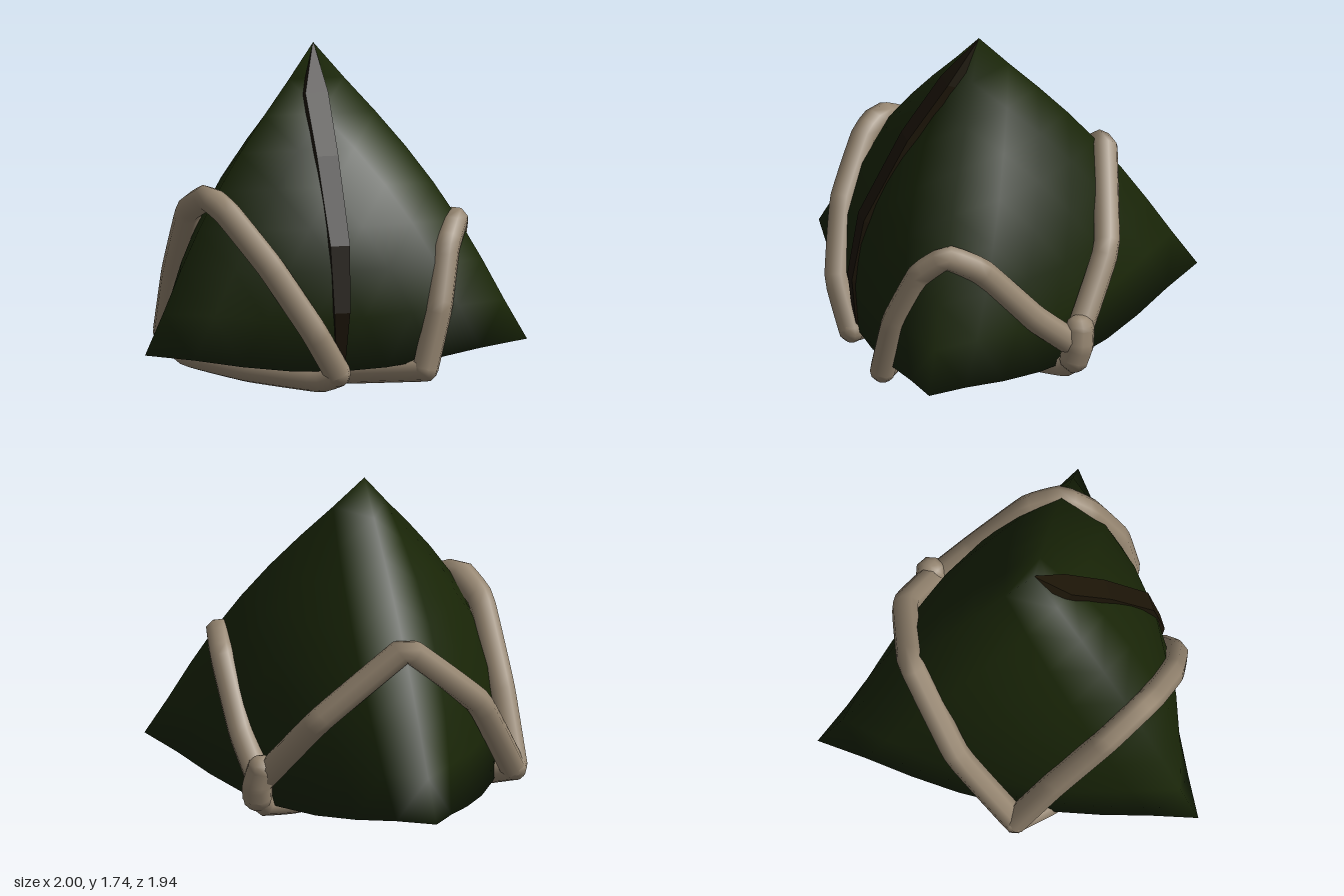
import * as THREE from 'three';
import { mergeVertices } from 'three/addons/utils/BufferGeometryUtils.js';

const V = (x, y, z) => new THREE.Vector3(x, y, z);
const mat = (name, color) => {
  const m = new THREE.MeshStandardMaterial({ color });
  m.name = name;
  return m;
};

// Four corners of the parcel: top, back, left, right
const corners = [V(0, 1.74, 0.19), V(0, 0.26, -0.975), V(1, 0.26, 0.75), V(-1, 0.26, 0.75)];
// How far the middle of each edge swells outward
const edgeSwell = {
  '01': V(0, 0.06, -0.04), '02': V(0.065, 0.045, 0.03), '03': V(-0.065, 0.045, 0.03),
  '12': V(0.08, -0.13, -0.04), '13': V(-0.08, -0.13, -0.04), '23': V(0, -0.11, 0.09),
};

// Point on a swollen triangular face, from barycentric weights
function facePoint(ids, w, bulge) {
  const [p, q, r] = ids.map((i) => corners[i]);
  const n = q.clone().sub(p).cross(r.clone().sub(p)).normalize();
  const out = V(0, 0, 0);
  ids.forEach((id, i) => out.addScaledVector(corners[id], w[i]));
  for (const [i, j] of [[0, 1], [1, 2], [0, 2]]) {
    const key = [ids[i], ids[j]].sort().join('');
    out.addScaledVector(edgeSwell[key], Math.pow(Math.max(0, 4 * w[i] * w[j]), 1.5));
  }
  return out.addScaledVector(n, 27 * w[0] * w[1] * w[2] * bulge);
}

function swollenFaces(faces, steps = 8) {
  const pos = [];
  for (const { ids, bulge } of faces) {
    const at = (i, j) => {
      const b = i / steps, c = j / steps;
      pos.push(...facePoint(ids, [1 - b - c, b, c], bulge).toArray());
    };
    for (let i = 0; i < steps; i++) {
      for (let j = 0; j < steps - i; j++) {
        at(i, j); at(i + 1, j); at(i, j + 1);
        if (i + j < steps - 1) { at(i + 1, j); at(i + 1, j + 1); at(i, j + 1); }
      }
    }
  }
  const g = new THREE.BufferGeometry();
  g.setAttribute('position', new THREE.Float32BufferAttribute(pos, 3));
  const merged = mergeVertices(g, 1e-4);
  merged.computeVertexNormals();
  return merged;
}

// Raised fold running down the middle of the front face:
// height weight, centre x, half width, lift
function foldGeometry() {
  const rows = [[0.995, 0, 0.004, 0], [0.82, -0.018, 0.07, 0.035], [0.6, -0.008, 0.066, 0.026],
    [0.32, 0.008, 0.06, 0.02], [0.14, 0.006, 0.048, 0.016], [0.01, 0.004, 0.026, 0.008]];
  const rings = rows.map(([a, cx, half, lift]) => {
    const c = facePoint([0, 3, 2], [a, (1 - a) / 2, (1 - a) / 2], 0.2);
    const sink = a > 0.9 ? 0.005 : 0.04;
    return [[-half, -sink], [-half * 0.85, lift], [half * 0.85, lift], [half, -sink]]
      .map(([x, d]) => [cx + x, c.y + d * 0.35, c.z + d * 0.93]);
  });
  const pos = [];
  for (let i = 0; i < rings.length - 1; i++) {
    for (let j = 0; j < 3; j++) {
      const a = rings[i][j], b = rings[i][j + 1], c = rings[i + 1][j], d = rings[i + 1][j + 1];
      pos.push(...a, ...c, ...b, ...b, ...c, ...d);
    }
  }
  const g = new THREE.BufferGeometry();
  g.setAttribute('position', new THREE.Float32BufferAttribute(pos, 3));
  g.computeVertexNormals();
  return g;
}

export function createModel() {
  const group = new THREE.Group();
  const leaf = mat('leaf green', 0x192507);
  const brown = mat('fold brown', 0x1c1507);
  const twine = mat('twine beige', 0x968671);
  twine.side = THREE.DoubleSide;

  const add = (name, geometry, material) => {
    const m = new THREE.Mesh(geometry, material);
    m.name = name;
    group.add(m);
    return m;
  };

  // Leaf wrapping
  add('leafWrapping', swollenFaces([
    { ids: [0, 3, 2], bulge: 0.2 },
    { ids: [0, 2, 1], bulge: 0.135 },
    { ids: [0, 1, 3], bulge: 0.135 },
    { ids: [1, 2, 3], bulge: 0.045 },
  ]), leaf);
  add('frontFold', foldGeometry(), brown);

  // Twine strands with rounded ends
  const strand = (name, points, radius = 0.069) => {
    const pts = points.map((p) => V(...p));
    const curve = new THREE.CatmullRomCurve3(pts, false, 'catmullrom', 0.15);
    add(name, new THREE.TubeGeometry(curve, points.length * 5, radius, 8), twine);
    for (const p of [pts[0], pts[pts.length - 1]]) {
      add(name + 'End', new THREE.SphereGeometry(radius, 8, 6), twine).position.copy(p);
    }
  };
  strand('rightCornerTwine', [[-0.015, 0.145, 0.865], [-0.15, 0.38, 0.9], [-0.36, 0.71, 0.81],
    [-0.55, 0.965, 0.64], [-0.625, 1.025, 0.53], [-0.685, 0.93, 0.36], [-0.7, 0.55, 0.07], [-0.7, 0.19, -0.14]]);
  strand('leftCornerTwine', [[0.45, 0.145, 0.835], [0.53, 0.45, 0.8], [0.595, 0.74, 0.68],
    [0.665, 0.855, 0.55], [0.7, 0.77, 0.38], [0.695, 0.46, 0.1], [0.67, 0.28, -0.1]]);
  strand('backCornerTwine', [[0.66, 0.29, -0.14], [0.43, 0.66, -0.365], [0.02, 1.03, -0.475],
    [-0.02, 1.03, -0.475], [-0.43, 0.66, -0.365], [-0.69, 0.19, -0.14]]);
  strand('bottomTwineLong', [[0.45, 0.14, 0.835], [0.3, 0.12, 0.73], [0, 0.075, 0.48],
    [-0.45, 0.085, 0.1], [-0.7, 0.18, -0.14]], 0.063);
  strand('bottomTwineFront', [[-0.01, 0.14, 0.865], [-0.1, 0.1, 0.8], [-0.4, 0.095, 0.45],
    [-0.63, 0.11, 0.1], [-0.7, 0.18, -0.14]], 0.063);
  strand('bottomTwineKnot', [[0.69, 0.22, -0.14], [0.64, 0.13, -0.09], [0.42, 0.072, 0.03],
    [0.2, 0.063, 0.12], [-0.12, 0.068, 0.38]], 0.063);

  // Knot where the strands meet
  strand('knot', [[0.67, 0.34, -0.15], [0.69, 0.26, -0.14], [0.68, 0.19, -0.12]], 0.08);
  return group;
}
